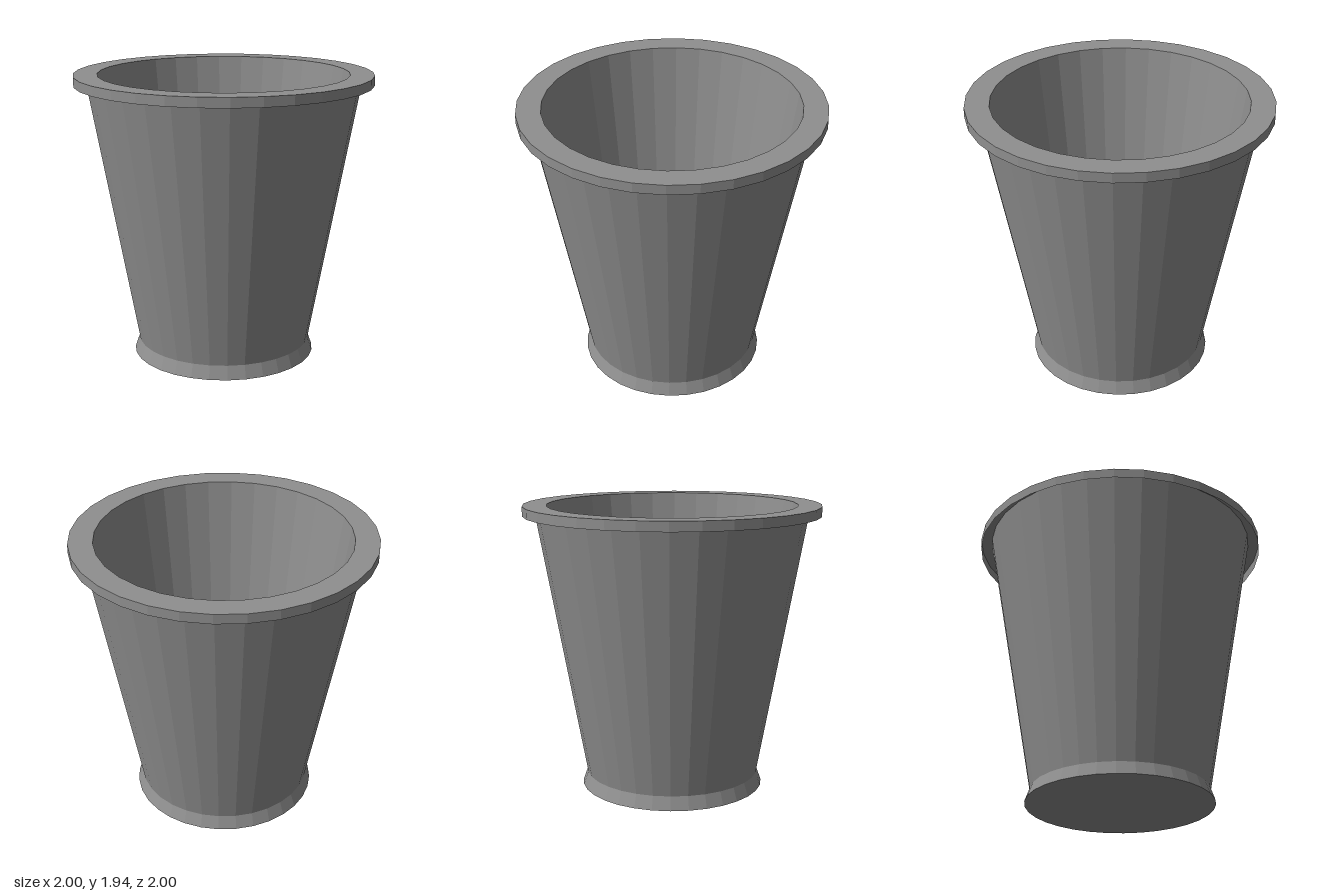
import * as THREE from 'three';

const SIDES = 32;

export function createModel() {
  const group = new THREE.Group();
  group.name = 'cup';
  const material = new THREE.MeshStandardMaterial({
    color: 0x8f8f8f,
    flatShading: true,
    side: THREE.DoubleSide,
  });

  // Revolves a [radius, height] profile, listed so that its faces point outward.
  const addLathe = (name, profile) => {
    const points = profile.map(([r, y]) => new THREE.Vector2(r, y));
    const mesh = new THREE.Mesh(new THREE.LatheGeometry(points, SIDES), material);
    mesh.name = name;
    group.add(mesh);
  };

  // Flared foot with closed underside
  addLathe('foot', [[0, 0], [0.625, 0], [0.593, 0.09]]);

  // Tapered outer wall, running up behind the rim
  addLathe('outerWall', [[0.593, 0.09], [0.925, 1.94]]);

  // Overhanging rim: a thin lip, open underneath
  addLathe('rim', [[1, 1.875], [1, 1.94], [0.84, 1.94]]);

  // Hollow inside with flat floor
  addLathe('interior', [[0.84, 1.94], [0.6, 0.22], [0, 0.22]]);

  return group;
}
